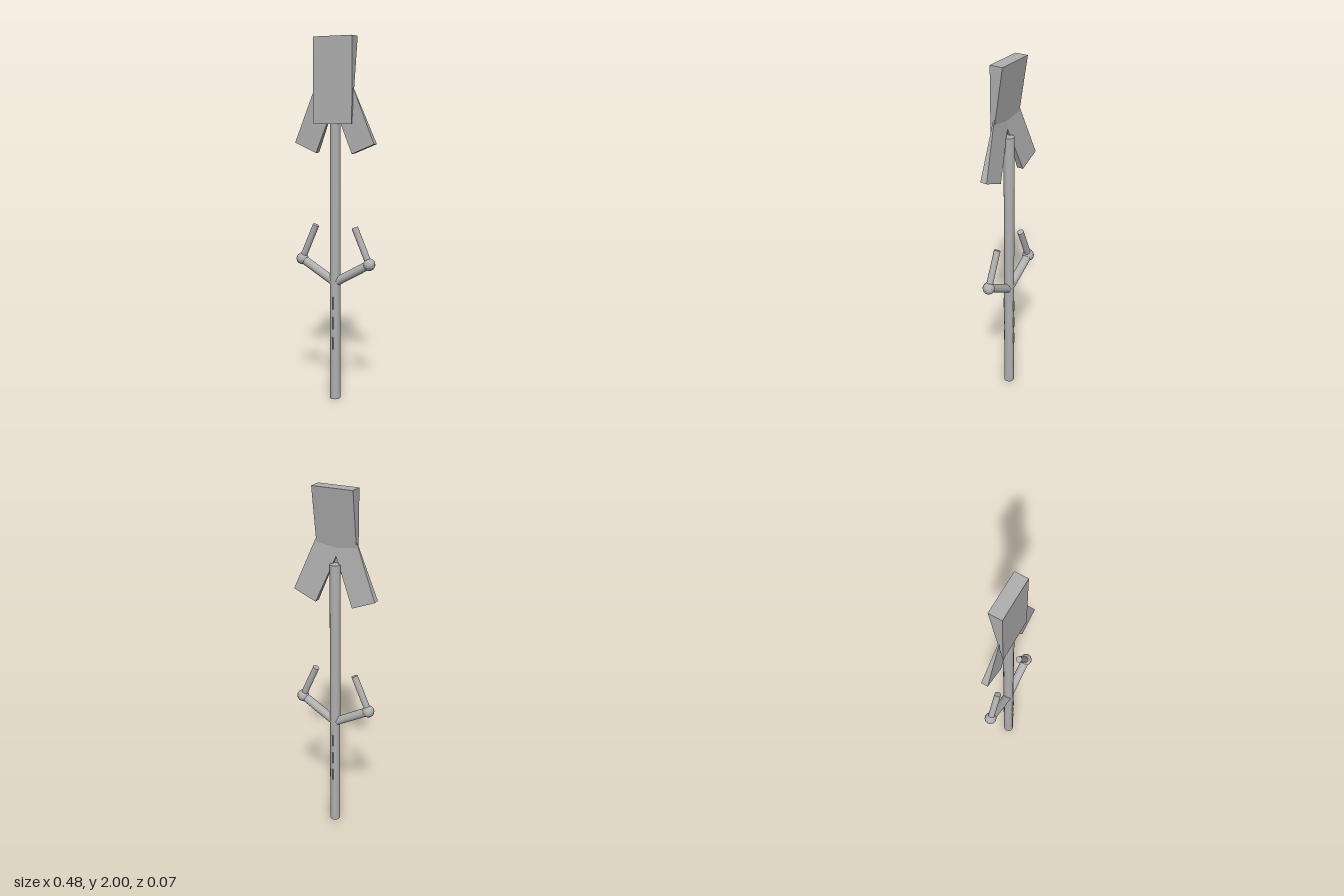
import * as THREE from 'three';

const grey = new THREE.MeshStandardMaterial({ color: 0xb0b0b0, flatShading: true });
grey.name = 'plainGrey';

function add(parent, name, geometry) {
  const mesh = new THREE.Mesh(geometry, grey);
  mesh.name = name;
  parent.add(mesh);
  return mesh;
}

// Box standing on y = 0 whose back slopes forward to a sharp edge at one end
function wedge(width, height, depth, sharpAtTop) {
  const g = new THREE.BoxGeometry(width, height, depth).translate(0, height / 2, 0);
  const p = g.attributes.position;
  for (let i = 0; i < p.count; i++) {
    const top = p.getY(i) > height / 2;
    if (top === sharpAtTop && p.getZ(i) < 0) p.setZ(i, depth / 2 - 0.0005);
  }
  g.computeVertexNormals();
  return g;
}

// Straight round bar between two points
function bar(parent, name, a, b, radius) {
  const from = new THREE.Vector3(...a), to = new THREE.Vector3(...b);
  const dir = to.clone().sub(from);
  const mesh = add(parent, name, new THREE.CylinderGeometry(radius, radius, dir.length(), 16));
  mesh.position.copy(from).add(to).multiplyScalar(0.5);
  mesh.quaternion.setFromUnitVectors(new THREE.Vector3(0, 1, 0), dir.normalize());
  return mesh;
}

export function createModel() {
  const model = new THREE.Group();
  model.name = 'staff';

  bar(model, 'pole', [0, 0, 0], [0, 1.6, 0], 0.029);

  // Head: upright wedge, thick at the top
  add(model, 'headBlade', wedge(0.23, 0.46, 0.072, false)).position.set(0, 1.54, 0);

  for (const s of [1, -1]) {
    const side = s > 0 ? 'left' : 'right';

    // Splayed wedge, thick at the bottom
    const wing = add(model, side + 'Wing', wedge(0.14, 0.37, 0.037, true));
    wing.position.set(s * 0.172, 1.408, 0);
    wing.rotation.z = s * Math.PI / 8;

    // Bent branch with a ball joint
    bar(model, side + 'LowerBranch', [s * 0.008, 0.672, 0], [s * 0.205, 0.785, 0], 0.024);
    add(model, side + 'Joint', new THREE.SphereGeometry(0.034, 12, 8)).position.set(s * 0.205, 0.785, 0);
    bar(model, side + 'UpperBranch', [s * 0.205, 0.785, 0], [s * 0.118, 0.982, 0], 0.018);
  }

  // Thin ridges passing through the grip, front to back
  for (const y of [0.325, 0.44, 0.555]) {
    add(model, 'gripRidge', new THREE.BoxGeometry(0.007, 0.07, 0.07)).position.y = y;
  }
  return model;
}
